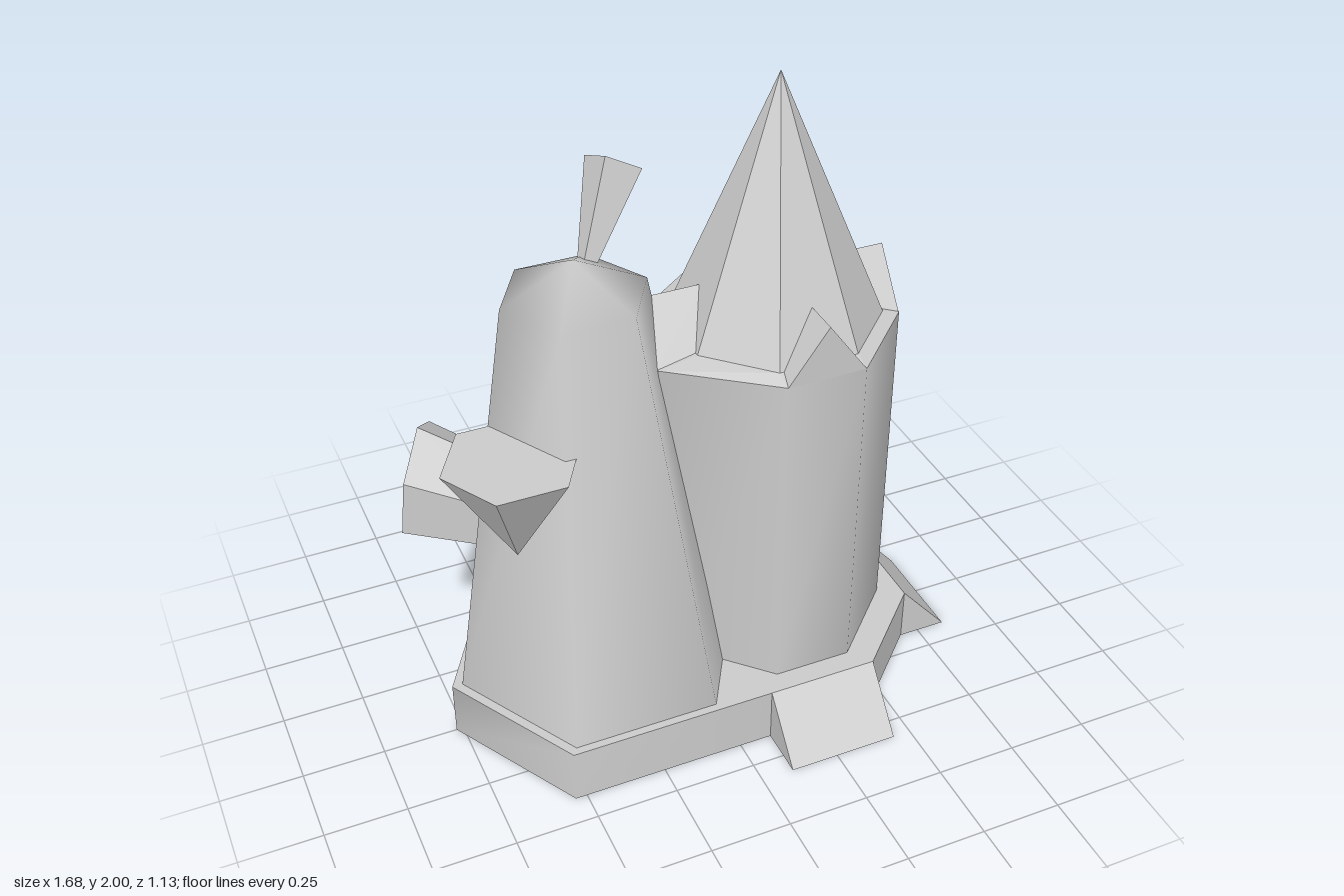
import * as THREE from 'three';
import { mergeVertices } from 'three/addons/utils/BufferGeometryUtils.js';

const stone = new THREE.MeshStandardMaterial({ color: 0xcccccc, side: THREE.DoubleSide });
stone.name = 'pale stone';

// Skin matching rings of [x, y, z], ordered counterclockwise seen from the far end
function loft(rings, { smooth = false, start = false, end = false, skip = [] } = {}) {
  const n = rings[0].length, index = [];
  for (let r = 0; r < rings.length - 1; r++) {
    for (let i = 0; i < n; i++) {
      if (skip.includes(i)) continue;
      const a = r * n + i, b = r * n + (i + 1) % n;
      index.push(a, b, b + n, a, b + n, a + n);
    }
  }
  const top = (rings.length - 1) * n;
  for (let i = 1; i < n - 1; i++) {
    if (start) index.push(0, i + 1, i);
    if (end) index.push(top, top + i, top + i + 1);
  }
  const g = new THREE.BufferGeometry();
  g.setAttribute('position', new THREE.Float32BufferAttribute(rings.flat(2), 3));
  g.setIndex(index);
  const skin = smooth ? mergeVertices(g) : g.toNonIndexed();
  skin.computeVertexNormals();
  return skin;
}

// Horizontal regular ring, counterclockwise from above
function ring(n, r, x, y, z = 0, turn = 0) {
  return Array.from({ length: n }, (_, i) => {
    const a = turn + i * 2 * Math.PI / n;
    return [x + r * Math.cos(a), y, z - r * Math.sin(a)];
  });
}

// Regular ring around a centre, spanned by two axes
function tiltedRing(n, r, c, u, v, turn) {
  return Array.from({ length: n }, (_, i) => {
    const a = turn + i * 2 * Math.PI / n;
    return c.clone().addScaledVector(u, r * Math.cos(a)).addScaledVector(v, r * Math.sin(a)).toArray();
  });
}

// Frustum from one point to another, both ends facing along the normal
function frustum(n, from, to, r0, r1, normal, upHint, turn) {
  const d = normal.clone().normalize();
  const u = upHint.clone().addScaledVector(d, -upHint.dot(d)).normalize();
  const v = new THREE.Vector3().crossVectors(d, u);
  return loft([tiltedRing(n, r0, from, u, v, turn), tiltedRing(n, r1, to, u, v, turn)], { end: true });
}

// Sloping face with two triangular cheeks, open below and behind
function buttressShell(halfWidth, height, run) {
  const g = new THREE.BufferGeometry();
  const [w, h, d] = [halfWidth, height, run];
  g.setAttribute('position', new THREE.Float32BufferAttribute([
    -w, 0, d, w, 0, d, w, h, 0, -w, 0, d, w, h, 0, -w, h, 0,
    w, 0, d, w, 0, 0, w, h, 0, -w, 0, 0, -w, 0, d, -w, h, 0,
  ], 3));
  g.computeVertexNormals();
  return g;
}

export function createModel() {
  const model = new THREE.Group();
  const add = (name, geometry) => {
    const mesh = new THREE.Mesh(geometry, stone);
    mesh.name = name;
    model.add(mesh);
    return mesh;
  };
  const V = (x, y, z) => new THREE.Vector3(x, y, z);

  // Plinth: hollow below, with openings where the buttresses join
  const plan = [[0.688, 0.172], [0.688, -0.172], [0.444, -0.41], [0.1, -0.41], [-0.535, -0.41],
    [-0.772, 0], [-0.535, 0.41], [0.1, 0.41], [0.444, 0.41]];
  const level = y => plan.map(([x, z]) => [x, y, z]);
  add('plinthWall', loft([level(0), level(0.18)], { smooth: true, skip: [0, 2, 7] }));
  add('plinthDeck', loft([level(0.18)], { end: true }));

  // Sloping buttresses on three sides of the plinth
  const buttresses = [['frontButtress', 0.272, 0.41, 0], ['leftButtress', 0.688, 0, Math.PI / 2],
    ['backButtress', 0.272, -0.41, Math.PI]];
  for (const [name, x, z, turn] of buttresses) {
    const m = add(name, buttressShell(0.172, 0.18, 0.155));
    m.position.set(x, 0, z);
    m.rotation.y = turn;
  }

  // Tapering six-sided tower with a low dome
  add('taperedTower', loft([
    ring(6, 0.445, -0.295, 0.18), ring(6, 0.212, -0.33, 1.46), ring(6, 0, -0.33, 1.565),
  ], { smooth: true }));

  // Eight-sided tower, its top stretched to reach the tapered one
  const wall = (y, left, half) => [[0.615, 0.12], [0.615, -0.12], [0.39, -0.343], [0.15, -0.343],
    [left, -half], [left, half], [0.15, 0.343], [0.39, 0.343]].map(([x, z]) => [x, y, z]);
  const rim = wall(1.235, -0.14, 0.125);
  add('roundTower', loft([wall(0.18, -0.07, 0.12), rim], { smooth: true }));
  const eaves = ring(8, 0.314, 0.27, 1.252, 0, Math.PI / 8);
  // Start the eaves at the same corner as the rim
  eaves.unshift(eaves.pop());
  add('roofLedge', loft([rim, eaves]));

  // Spire
  add('spire', loft([eaves, ring(8, 0, 0.27, 2)]));

  // Pointed gables around the spire
  ['frontGable', 'leftGable', 'backGable', 'rightGable'].forEach((name, i) => {
    const reach = i === 3 ? 0.41 : 0.343;
    const shape = new THREE.Shape([[-0.12, 1.235], [0.12, 1.235], [0, 1.4]].map(p => new THREE.Vector2(...p)));
    const g = new THREE.ExtrudeGeometry(shape, { depth: reach - 0.22, bevelEnabled: false });
    const m = add(name, g.translate(0, 0, 0.22));
    m.position.x = 0.27;
    m.rotation.y = i * Math.PI / 2;
  });

  // Hanging turret on the front corner
  add('hangingTurret', loft([ring(6, 0, -0.59, 0.77, 0.175), ring(6, 0.2, -0.59, 1.1, 0.175)],
    { end: true }));

  // Flared spout on the back corner
  add('spout', frustum(6, V(-0.49, 0.69, -0.125), V(-0.75, 0.78, -0.275), 0.132, 0.18,
    V(-0.855, 0.11, -0.5), V(0, 1, 0), 0));

  // Leaning flared chimney
  add('chimney', frustum(4, V(-0.27, 1.485, -0.07), V(-0.135, 1.725, -0.19), 0.025, 0.084,
    V(0.135, 0.24, -0.12), V(0.11, -0.05, 0), Math.PI / 4));

  return model;
}
